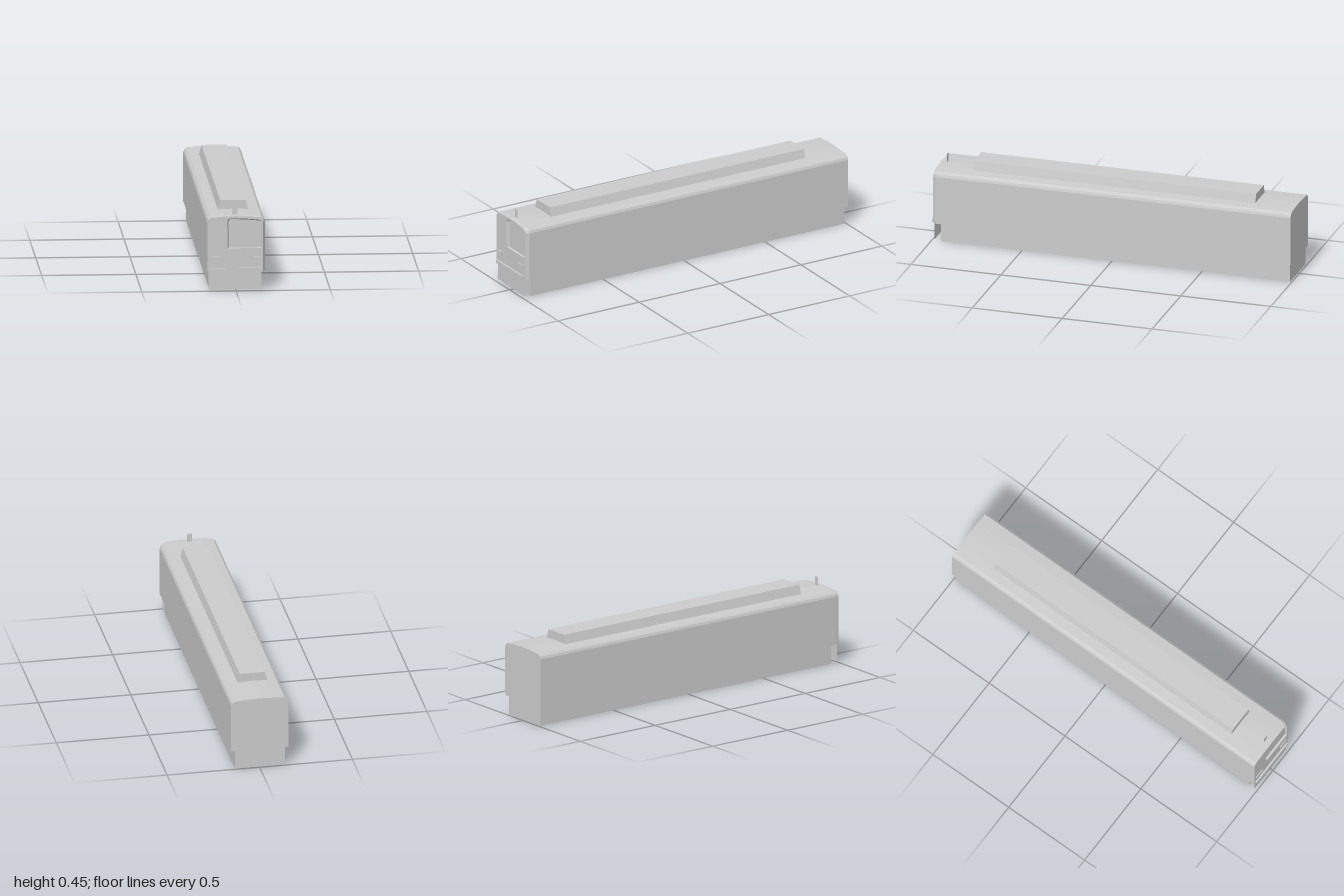
import * as THREE from 'three';

const paint = new THREE.MeshStandardMaterial({ color: 0xcccccc, side: THREE.DoubleSide });
paint.name = 'grey paint';

const toShape = pts => new THREE.Shape(pts.map(([x, y]) => new THREE.Vector2(x, y)));

// Flat-shaded band joining two outlines with equal point counts
function band(a, za, b, zb) {
  const pos = [];
  a.forEach((p, i) => {
    const j = (i + 1) % a.length;
    const A = [...p, za], B = [...a[j], za], C = [...b[j], zb], D = [...b[i], zb];
    pos.push(...A, ...B, ...C, ...A, ...C, ...D);
  });
  const g = new THREE.BufferGeometry();
  g.setAttribute('position', new THREE.Float32BufferAttribute(pos, 3));
  g.computeVertexNormals();
  return g;
}

export function createModel() {
  const model = new THREE.Group();
  model.name = 'railcar';

  const add = (name, geometry, x = 0, y = 0, z = 0) => {
    const mesh = new THREE.Mesh(geometry, paint);
    mesh.name = name;
    mesh.position.set(x, y, z);
    model.add(mesh);
    return mesh;
  };
  const prism = (name, pts, z0, z1) =>
    add(name, new THREE.ExtrudeGeometry(toShape(pts), { depth: z1 - z0, bevelEnabled: false }), 0, 0, z0);
  const box = (name, x0, x1, y0, y1, z0, z1) =>
    add(name, new THREE.BoxGeometry(x1 - x0, y1 - y0, z1 - z0), (x0 + x1) / 2, (y0 + y1) / 2, (z0 + z1) / 2);
  const sheet = (name, x0, x1, y0, y1, z) =>
    add(name, new THREE.PlaneGeometry(x1 - x0, y1 - y0), (x0 + x1) / 2, (y0 + y1) / 2, z);

  // Main body with chamfered, gently arched roof
  const half = [[0.154, 0.105], [0.154, 0.371], [0.149, 0.385], [0.135, 0.397], [0.07, 0.402]];
  const section = [...half, [0, 0.404], ...half.map(([x, y]) => [-x, y]).reverse()];
  prism('body', section, -1, 0.97);

  // Cab front: bevelled rim, face with a window opening, recessed pane
  const face = section.map(([x, y]) => [x * 0.961 - 0.004, y > 0.2 ? y - 0.003 : y]);
  const opening = [[-0.045, 0.228], [0.138, 0.228], [0.138, 0.372], [0.125, 0.380],
    [0.05, 0.388], [-0.035, 0.390], [-0.047, 0.376]];
  const pane = [[-0.037, 0.230], [0.136, 0.230], [0.136, 0.371], [0.124, 0.374],
    [0.05, 0.381], [-0.031, 0.384], [-0.038, 0.373]];
  add('cabRim', band(section, 0.97, face, 0.99));
  const faceShape = toShape(face);
  faceShape.holes.push(new THREE.Path(opening.map(([x, y]) => new THREE.Vector2(x, y))));
  add('cabFace', new THREE.ShapeGeometry(faceShape), 0, 0, 0.99);
  add('windowReveal', band(opening, 0.99, pane, 0.978));
  add('windowPane', new THREE.ShapeGeometry(toShape(pane)), 0, 0, 0.978);

  // Headlights and bumper
  box('headlightRight', -0.137, -0.084, 0.163, 0.184, 0.985, 0.995);
  box('headlightLeft', 0.075, 0.128, 0.163, 0.184, 0.985, 0.995);
  box('bumper', -0.141, 0.133, 0.105, 0.123, 0.985, 1.0);

  // Front apron and small roof aerial, both thin sheets
  sheet('frontApron', -0.145, 0.137, 0.007, 0.105, 0.985);
  sheet('aerial', -0.018, 0.009, 0.4, 0.45, 0.955);

  // Underframe skirt, four walls open below
  const rim = [[-0.139, -0.95], [0.132, -0.95], [0.132, 0.99], [-0.139, 0.99]];
  add('skirt', band(rim, 0, rim, 0.105)).rotation.x = -Math.PI / 2;

  // Roof equipment housing with sloped sides
  prism('roofHousing', [[-0.085, 0.398], [0.078, 0.398], [0.064, 0.45], [-0.071, 0.45]], -0.78, 0.79);

  return model;
}
